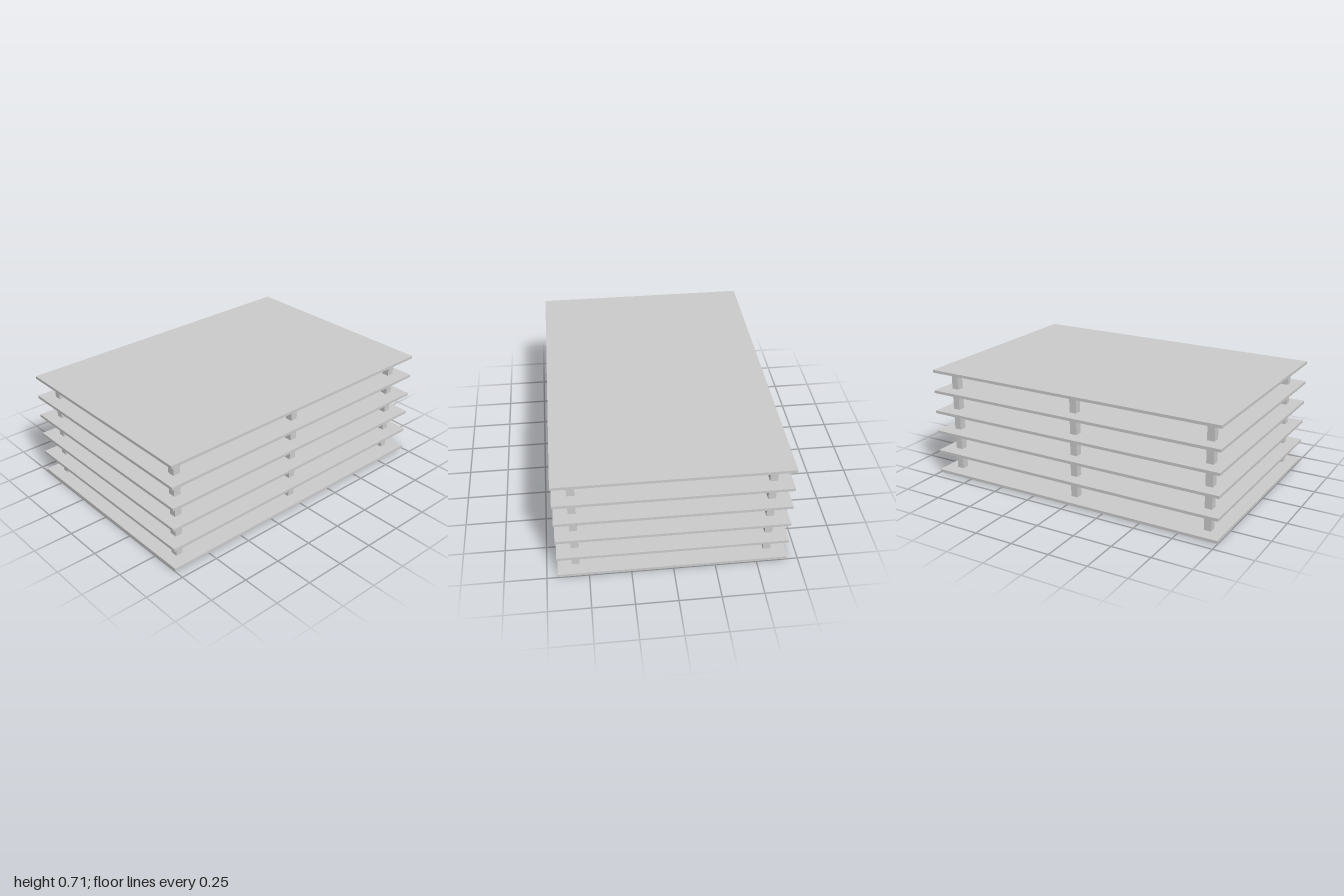
import * as THREE from 'three';

export function createModel() {
  const model = new THREE.Group();
  const material = new THREE.MeshStandardMaterial({ color: 0xcccccc, flatShading: true });
  const floors = 6, pitch = 0.1374, slabT = 0.018;

  function add(name, geometry, x, y, z) {
    const mesh = new THREE.Mesh(geometry, material);
    mesh.name = name;
    mesh.position.set(x, y, z);
    model.add(mesh);
    return mesh;
  }

  const slab = new THREE.BoxGeometry(2, slabT, 1.372);
  const column = new THREE.BoxGeometry(0.046, pitch - slabT, 0.046);
  const bar = new THREE.CylinderGeometry(0.0125, 0.0125, 0.4, 8);

  for (let i = 0; i < floors; i++) {
    const y = i * pitch;
    add('floorSlab', slab, 0, y + slabT / 2, 0);
    if (i === floors - 1) break;

    // Columns along the front and back edges
    for (const x of [-0.9, 0, 0.9])
      for (const z of [-0.577, 0.577])
        add('column', column, x, y + (pitch + slabT) / 2, z);

    // Sloping bar rising to the next floor
    add('rampBar', bar, 0.7, y + pitch / 2, 0.387).rotation.z = 0.3 - Math.PI / 2;
  }
  return model;
}
